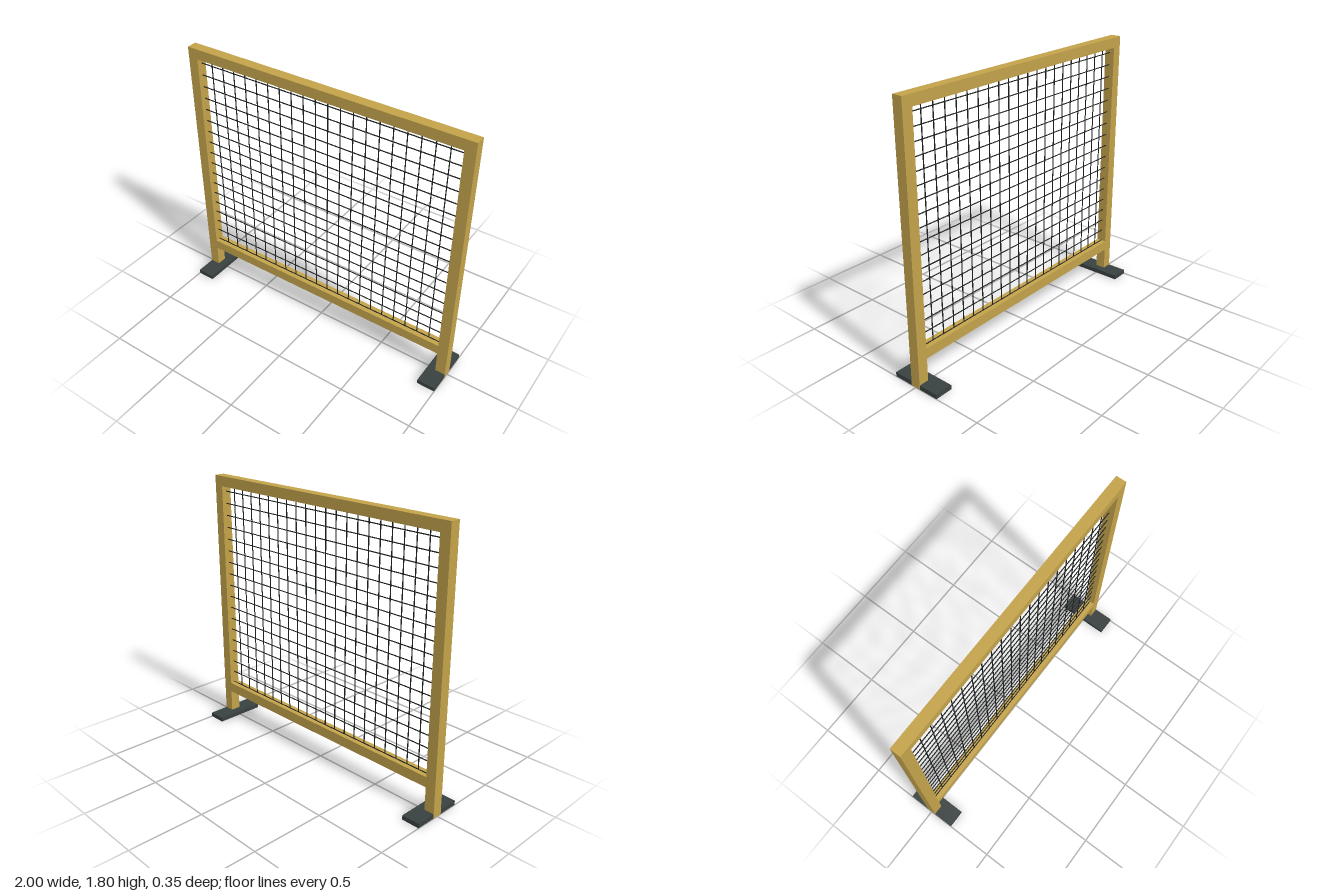
import * as THREE from 'three';

const gold = new THREE.MeshStandardMaterial({ color: 0xc2a24a });
const dark = new THREE.MeshStandardMaterial({ color: 0x394040 });
const steel = new THREE.MeshStandardMaterial({ color: 0x1c1f1f });

const H = 1.8, T = 0.07, INNER = 1 - T;      // height, tube size, inner half width
const RAIL_LOW = 0.185, RAIL_TOP = RAIL_LOW + T;

function add(parent, name, geometry, material, x = 0, y = 0, z = 0) {
  const mesh = new THREE.Mesh(geometry, material);
  mesh.name = name;
  mesh.position.set(x, y, z);
  parent.add(mesh);
  return mesh;
}

export function createModel() {
  const model = new THREE.Group();
  model.name = 'meshFencePanel';

  // Square-tube frame: two posts reaching the ground, top and bottom rails
  const outline = new THREE.Shape([
    [-1, 0.001], [-INNER, 0.001], [-INNER, RAIL_LOW], [INNER, RAIL_LOW],
    [INNER, 0.001], [1, 0.001], [1, H], [-1, H],
  ].map(([x, y]) => new THREE.Vector2(x, y)));
  outline.holes.push(new THREE.Path([
    [-INNER, RAIL_TOP], [-INNER, H - T], [INNER, H - T], [INNER, RAIL_TOP],
  ].map(([x, y]) => new THREE.Vector2(x, y))));
  const frame = new THREE.ExtrudeGeometry(outline, { depth: T, bevelEnabled: false });
  frame.translate(0, 0, -T / 2);
  add(model, 'frame', frame, gold);

  // Flat foot plates, set a hair inside the outer post faces
  for (const [side, name] of [[1, 'leftFoot'], [-1, 'rightFoot']]) {
    add(model, name, new THREE.BoxGeometry(0.124, 0.03, 0.35), dark, side * 0.937, 0.015);
  }

  // Wire mesh
  const wires = new THREE.Group();
  wires.name = 'wireMesh';
  model.add(wires);
  const R = 0.0035;
  const upright = new THREE.CylinderGeometry(R, R, H - T - RAIL_TOP, 8);
  const level = new THREE.CylinderGeometry(R, R, 2 * INNER, 8).rotateZ(Math.PI / 2);
  const columns = 21, step = (2 * INNER) / columns;
  for (let i = 1; i < columns; i++) {
    add(wires, 'verticalWire', upright, steel, -INNER + i * step, (H - T + RAIL_TOP) / 2);
  }
  for (let i = 0; i < 18; i++) {
    add(wires, 'horizontalWire', level, steel, 0, 0.256 + i * 0.0845);
  }
  return model;
}
